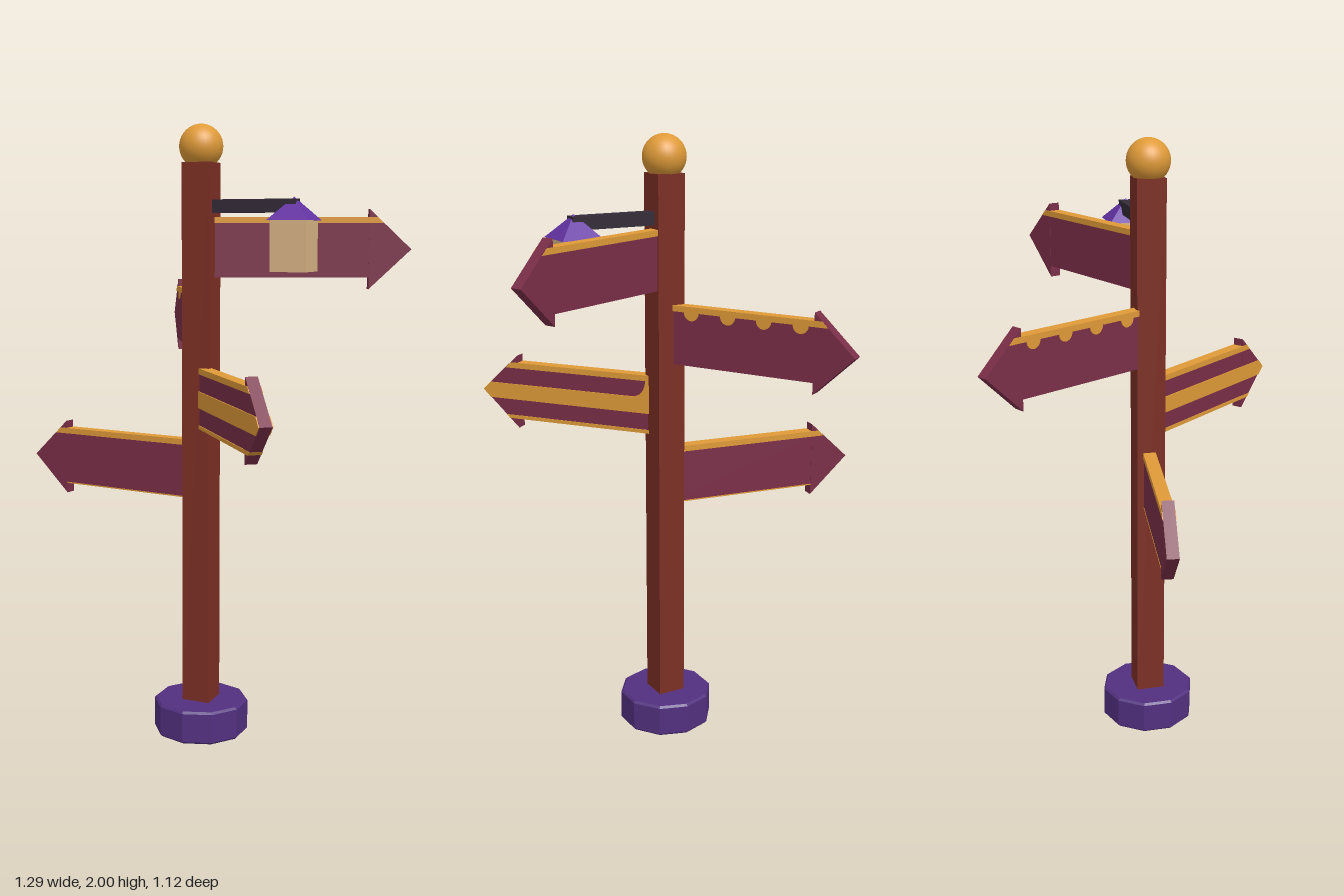
import * as THREE from 'three';

const mat = (name, color) => {
  const m = new THREE.MeshStandardMaterial({ color });
  m.name = name;
  return m;
};

export function createModel() {
  const wood = mat('red brown wood', 0x7c2f24);
  const maroon = mat('maroon board', 0x7a2e48);
  const gold = mat('gold', 0xdf9a38);
  const purple = mat('base purple', 0x52307f);
  const violet = mat('roof violet', 0x6433a4);
  const tan = mat('lantern tan', 0xd9b585);
  const iron = mat('dark iron', 0x332a38);

  const root = new THREE.Group();
  root.name = 'signpost';
  const model = new THREE.Group();
  model.name = 'postAssembly';
  model.position.set(0.018, 0, 0.025);
  root.add(model);

  const add = (parent, name, geo, material, x = 0, y = 0, z = 0) => {
    const mesh = new THREE.Mesh(geo, material);
    mesh.name = name;
    mesh.position.set(x, y, z);
    parent.add(mesh);
    return mesh;
  };
  const faceted = (geo) => {
    const g = geo.toNonIndexed();
    g.computeVertexNormals();
    return g;
  };
  const poly = (pts) => new THREE.Shape(pts.map(([x, y]) => new THREE.Vector2(x, y)));
  // Flat shape given thickness from z0 to z1
  const slab = (shape, z0, z1) => new THREE.ExtrudeGeometry(shape,
    { depth: z1 - z0, bevelEnabled: false, curveSegments: 6 }).translate(0, 0, z0);

  // Ten-sided base with a small bevel
  const baseProfile = [[0, 0], [0.15, 0], [0.157, 0.007], [0.157, 0.103], [0.15, 0.11], [0, 0.11]]
    .map(([x, y]) => new THREE.Vector2(x, y));
  add(model, 'base', faceted(new THREE.LatheGeometry(baseProfile, 10)), purple);

  // Post and ball
  add(model, 'post', new THREE.BoxGeometry(0.094, 1.78, 0.094), wood, 0, 0.99, 0);
  add(model, 'finial', new THREE.SphereGeometry(0.07, 32, 20), gold, 0, 1.93, 0);

  // Arrow board pointing along (dx, dz) from the post
  function sign(name, y, dx, dz) {
    const g = new THREE.Group();
    g.name = name;
    g.position.y = y;
    g.rotation.y = Math.atan2(-dz, dx);
    model.add(g);
    add(g, 'board', new THREE.BoxGeometry(0.54, 0.173, 0.036), maroon, 0.27, -0.0035, 0);
    add(g, 'arrowHead', slab(poly([[0.535, -0.127], [0.67, 0], [0.535, 0.127]]), -0.019, 0.019), maroon);
    add(g, 'topTrim', slab(poly([[0, 0.083], [0.58, 0.083], [0.561, 0.102], [0, 0.102]]), -0.021, 0.021), gold);
    return g;
  }

  sign('topSign', 1.608, 0.607, -0.262);
  const scalloped = sign('scallopedSign', 1.368, -0.338, -0.58);
  const striped = sign('stripedSign', 1.128, 0.415, 0.515);
  const lowest = sign('lowestSign', 0.888, -0.663, -0.09);

  // Gold scallops under the trim, on both faces
  for (const x of [0.11, 0.24, 0.365, 0.49]) {
    const s = new THREE.Shape();
    s.absarc(x, 0.083, 0.026, Math.PI, Math.PI * 2, false);
    for (const z of [-0.021, 0.017]) add(scalloped, 'scallop', slab(s, z, z + 0.004), gold);
  }

  // Centre stripe running into the tip; the rear one sweeps up at the post
  add(striped, 'frontStripe', slab(poly([[0, -0.027], [0.641, -0.027], [0.668, 0],
    [0.641, 0.027], [0, 0.027]]), 0.018, 0.022), gold);
  const sweep = poly([[0.0, -0.027], [0.641, -0.027], [0.668, 0], [0.641, 0.027], [0.11, 0.027]]);
  sweep.quadraticCurveTo(0.065, 0.03, 0.06, 0.083);
  sweep.lineTo(0, 0.083);
  add(striped, 'rearStripe', slab(sweep, -0.022, -0.018), gold);
  add(striped, 'bottomTrim', slab(poly([[0, -0.095], [0.569, -0.095], [0.582, -0.083], [0, -0.083]]),
    -0.021, 0.021), gold);
  add(lowest, 'bottomTrim', new THREE.BoxGeometry(0.54, 0.004, 0.038), gold, 0.27, -0.091, 0);

  // Hanging lantern on an arm
  const lantern = new THREE.Group();
  lantern.name = 'lantern';
  lantern.position.x = 0.313;
  model.add(lantern);
  add(model, 'lanternArm', new THREE.BoxGeometry(0.32, 0.042, 0.042), iron, 0.165, 1.743, 0);
  add(lantern, 'lanternBox', new THREE.BoxGeometry(0.117, 0.16, 0.117), tan, 0, 1.62, 0);
  const roof = new THREE.ConeGeometry(0.068 * Math.SQRT2, 0.072, 4).rotateY(Math.PI / 4);
  add(lantern, 'lanternRoof', faceted(roof), violet, 0, 1.734, 0);

  return root;
}
